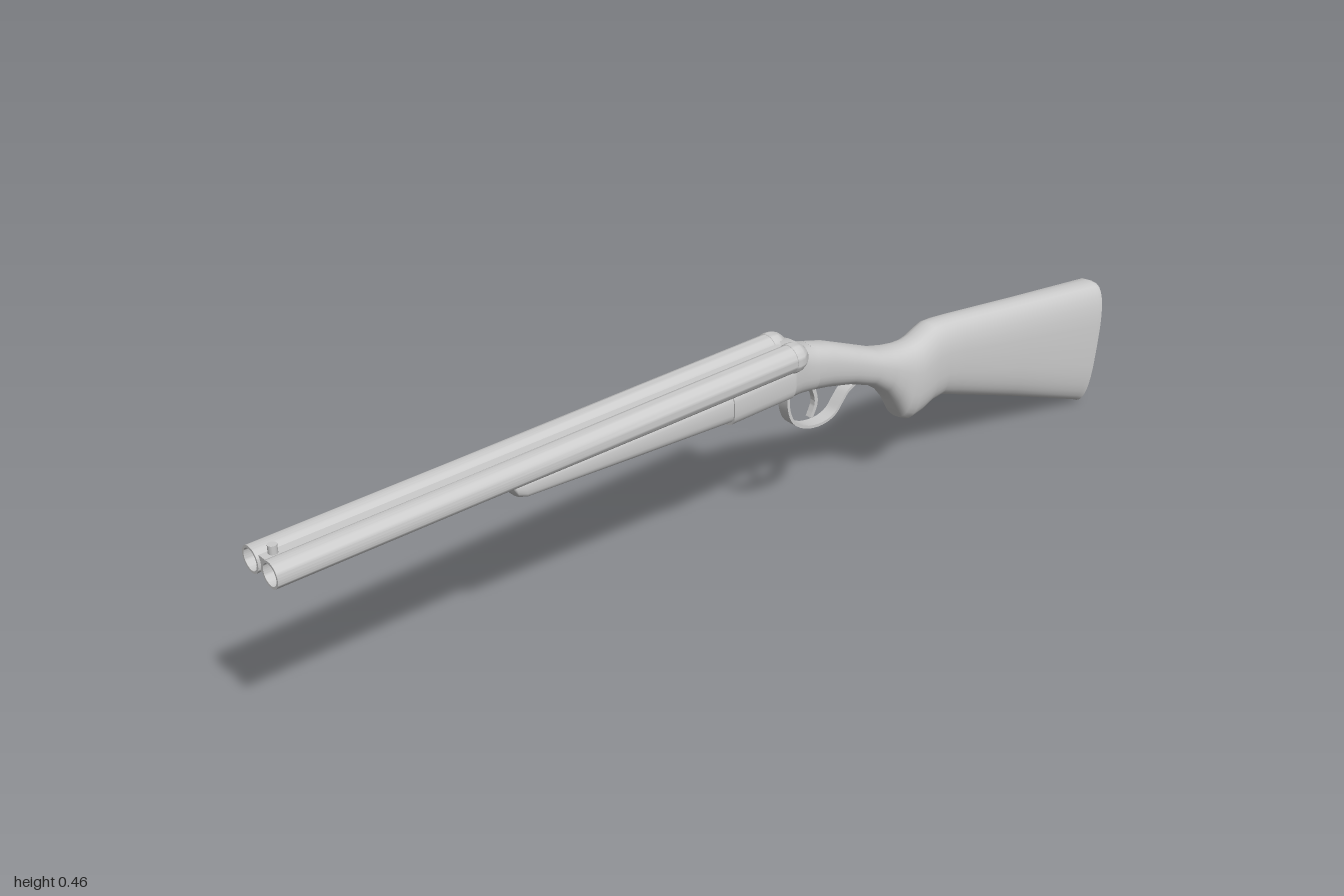
import * as THREE from 'three';
import { toCreasedNormals } from 'three/addons/utils/BufferGeometryUtils.js';

const material = new THREE.MeshStandardMaterial({ color: 0xcccccc, roughness: 0.7 });

function add(parent, name, geometry) {
  const mesh = new THREE.Mesh(geometry, material);
  mesh.name = name;
  parent.add(mesh);
  return mesh;
}

// Skin of superellipse rings running front to back.
// Each section: [zTop, yTop, zBottom, yBottom, halfWidth, roundness exponent]
function loft(sections, backBulge = 0) {
  const N = 32, pos = [], idx = [];
  const pw = (v, e) => Math.sign(v) * Math.pow(Math.abs(v), e);
  const ring = ([zt, yt, zb, yb, w, n]) => {
    for (let j = 0; j < N; j++) {
      const a = (j / N) * Math.PI * 2;
      const t = (pw(Math.sin(a), 2 / n) + 1) / 2;
      pos.push(w * pw(Math.cos(a), 2 / n), yb + (yt - yb) * t, zb + (zt - zb) * t);
    }
  };
  sections.forEach(ring);
  for (let i = 0; i < sections.length - 1; i++) {
    for (let j = 0; j < N; j++) {
      const k = (j + 1) % N, a = i * N + j, b = i * N + k;
      idx.push(a, a + N, b, b, a + N, b + N);
    }
  }
  // End caps with their own vertices, so the rim stays sharp
  [sections[0], sections[sections.length - 1]].forEach((s, end) => {
    const base = pos.length / 3;
    ring(s);
    pos.push(0, (s[1] + s[3]) / 2, (s[0] + s[2]) / 2 - (end ? backBulge : 0));
    for (let j = 0; j < N; j++) {
      const k = (j + 1) % N;
      if (end) idx.push(base + N, base + k, base + j);
      else idx.push(base + N, base + j, base + k);
    }
  });
  const g = new THREE.BufferGeometry();
  g.setAttribute('position', new THREE.Float32BufferAttribute(pos, 3));
  g.setIndex(idx);
  g.computeVertexNormals();
  return g;
}

// Flat strap of constant width following a path in the side plane (points are z, y)
function strap(points, halfWidth, thickness) {
  const curve = new THREE.SplineCurve(points.map(([z, y]) => new THREE.Vector2(z, y)));
  const outer = [], inner = [];
  for (let i = 0; i <= 28; i++) {
    const p = curve.getPoint(i / 28), t = curve.getTangent(i / 28);
    const n = new THREE.Vector2(-t.y, t.x).multiplyScalar(thickness / 2);
    outer.push(p.clone().add(n));
    inner.unshift(p.clone().sub(n));
  }
  const g = new THREE.ExtrudeGeometry(new THREE.Shape([...outer, ...inner]), {
    depth: halfWidth * 2, bevelEnabled: false,
  });
  g.translate(0, 0, -halfWidth);
  g.rotateY(-Math.PI / 2);
  return toCreasedNormals(g, 0.6);
}

function lathe(points, crease) {
  const g = new THREE.LatheGeometry(points.map(([r, l]) => new THREE.Vector2(r, l)), 32);
  g.rotateX(Math.PI / 2);
  return toCreasedNormals(g, crease);
}

export function createModel() {
  const gun = new THREE.Group();
  gun.name = 'doubleBarrelGun';

  // Barrels, tilted slightly upward towards the muzzle
  const barrels = new THREE.Group();
  barrels.name = 'barrels';
  barrels.position.set(0, 0.421, -0.085);
  barrels.rotation.x = -0.0085;
  gun.add(barrels);
  for (const side of [1, -1]) {
    const name = side > 0 ? 'left' : 'right';
    const barrel = add(barrels, name + 'Barrel', lathe([
      [0.027, 0], [0.0265, 0.3], [0.0245, 0.7], [0.024, 1.085],
      [0.0195, 1.085], [0.0185, 0.75], [0.0001, 0.75],
    ], 0.5));
    // Rounded breech end
    const breech = add(barrels, name + 'Breech', lathe([
      [0.0001, -0.033], [0.01, -0.032], [0.018, -0.028], [0.024, -0.021],
      [0.028, -0.011], [0.029, 0], [0.028, 0.006], [0.024, 0.008],
    ], 0.9));
    barrel.position.x = breech.position.x = side * 0.029;
  }
  // Sighting rib between the barrels
  const rib = add(barrels, 'rib', new THREE.BoxGeometry(0.018, 0.03, 1.08));
  rib.position.set(0, 0.001, 0.54);
  // Front sight
  const sight = add(barrels, 'frontSight', new THREE.CylinderGeometry(0.008, 0.008, 0.018, 12));
  sight.position.set(0, 0.0225, 1.06);

  // Wooden fore-end under the barrels
  add(gun, 'foreEnd', loft([
    [0.548, 0.406, 0.54, 0.384, 0.029, 2.6],
    [0.545, 0.41, 0.535, 0.374, 0.035, 2.8],
    [0.53, 0.412, 0.518, 0.368, 0.038, 3],
    [0.3, 0.412, 0.3, 0.353, 0.04, 3],
    [0.06, 0.412, 0.06, 0.337, 0.041, 3],
  ]));

  // Receiver
  add(gun, 'receiver', loft([
    [0.065, 0.412, 0.065, 0.333, 0.043, 3.2],
    [0, 0.414, 0, 0.333, 0.043, 3.2],
    [-0.085, 0.418, -0.085, 0.332, 0.043, 3.2],
    [-0.092, 0.44, -0.092, 0.331, 0.041, 3],
    [-0.115, 0.438, -0.112, 0.329, 0.038, 2.8],
    [-0.135, 0.424, -0.13, 0.326, 0.036, 2.6],
    [-0.16, 0.417, -0.155, 0.322, 0.0355, 2.5],
  ]));

  // Grip and butt stock
  add(gun, 'stock', loft([
    [-0.15, 0.42, -0.15, 0.323, 0.0355, 2.5],
    [-0.2, 0.405, -0.195, 0.314, 0.036, 2.4],
    [-0.27, 0.374, -0.255, 0.298, 0.036, 2.4],
    [-0.33, 0.347, -0.31, 0.276, 0.037, 2.4],
    [-0.37, 0.336, -0.35, 0.246, 0.039, 2.4],
    [-0.4, 0.331, -0.378, 0.21, 0.041, 2.4],
    [-0.425, 0.33, -0.398, 0.172, 0.042, 2.5],
    [-0.445, 0.334, -0.42, 0.16, 0.043, 2.5],
    [-0.465, 0.343, -0.45, 0.165, 0.043, 2.5],
    [-0.485, 0.35, -0.48, 0.177, 0.043, 2.5],
    [-0.51, 0.349, -0.515, 0.181, 0.043, 2.5],
    [-0.56, 0.343, -0.555, 0.166, 0.0435, 2.5],
    [-0.75, 0.316, -0.735, 0.097, 0.044, 2.7],
    [-0.985, 0.284, -0.95, 0.01, 0.045, 3],
    [-0.998, 0.278, -0.966, 0.002, 0.044, 3],
  ], 0.006));

  // Trigger guard and trigger
  add(gun, 'triggerGuard', strap([
    [-0.097, 0.334], [-0.098, 0.3], [-0.112, 0.268], [-0.145, 0.246], [-0.185, 0.239],
    [-0.218, 0.247], [-0.238, 0.268], [-0.256, 0.286], [-0.285, 0.298],
  ], 0.013, 0.006));
  add(gun, 'trigger', strap([
    [-0.165, 0.325], [-0.174, 0.3], [-0.174, 0.28], [-0.163, 0.257],
  ], 0.006, 0.008));

  return gun;
}
